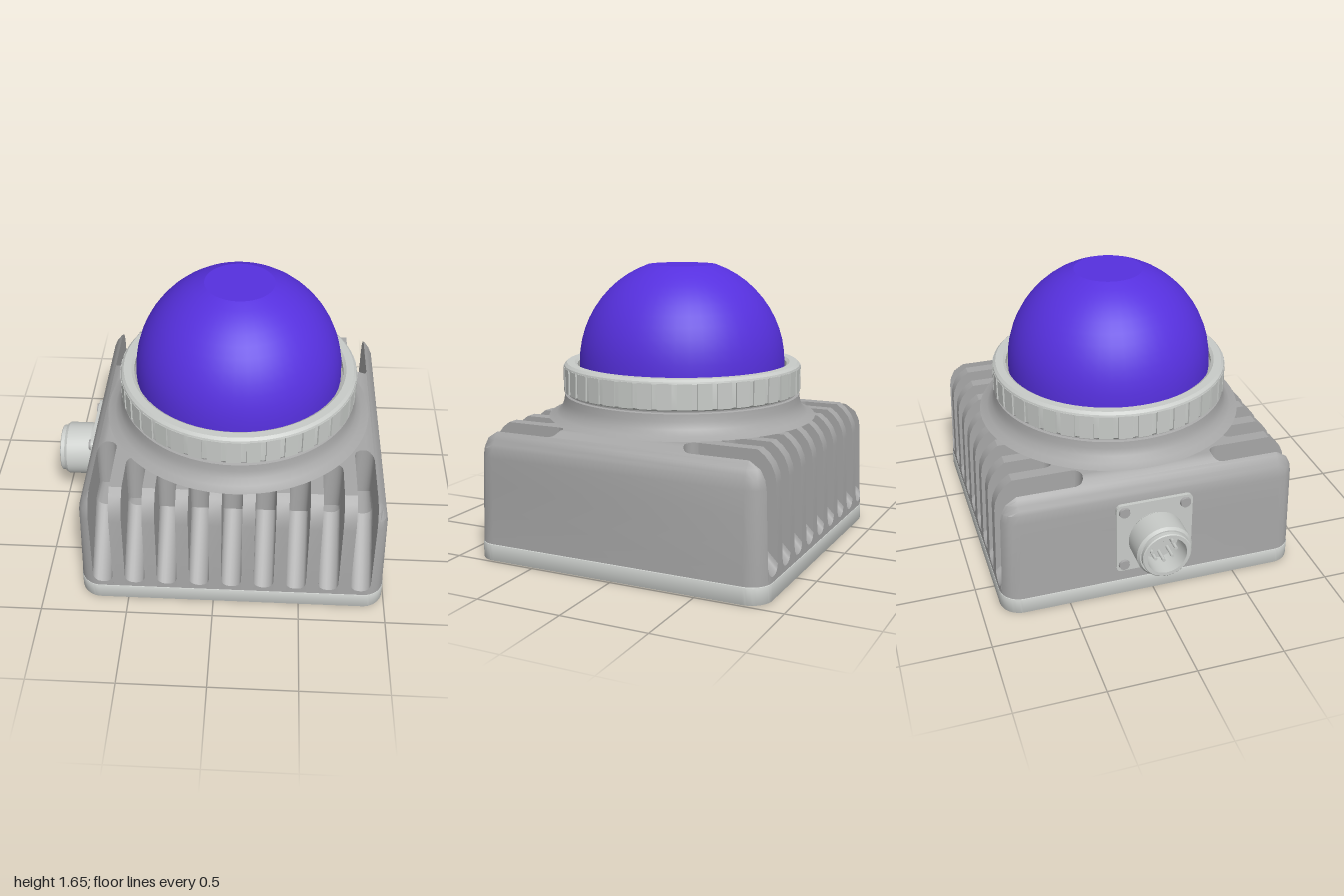
import * as THREE from 'three';
import { toCreasedNormals, mergeGeometries } from 'three/addons/utils/BufferGeometryUtils.js';

const mat = (name, color) => {
  const m = new THREE.MeshStandardMaterial({ color });
  m.name = name;
  return m;
};

const CX = 0.105;        // body centre in x
const P = 0.765;         // half size of the body before its rounded corners
// outer wall from bottom to top: distance from the axis, height
const WALL = [[0.885, 0.1], [0.87, 0.6], [0.862, 0.65], [0.84, 0.7], [0.805, 0.742], [P, 0.772]];

// roof height at a distance u from the centre plane
function roof(u) {
  if (u <= P) return WALL[5][1];
  for (let i = 0; i < 5; i++) {
    const [d0, y0] = WALL[i], [d1, y1] = WALL[i + 1];
    if (u >= d1) return y0 + (y1 - y0) * (d0 - u) / (d0 - d1);
  }
  return 0.1;
}

// z of the wall at level d, with rounded plan corners
const wallZ = (d, u) => P + Math.sqrt(Math.max(0, (d - P) ** 2 - Math.max(0, u - P) ** 2));

// half cross-section of a plain slice
function finSection(x) {
  const u = Math.abs(x), h = roof(u);
  return WALL.map(([d, y]) => (d >= u ? [wallZ(d, u), Math.min(y, h)] : [P, h]));
}

// half cross-section through a cooling slot; f rounds the floor and the end
function slotSection(x, f, end) {
  const u = Math.abs(x), hz = wallZ(0.885, u);
  return [[hz, 0.1], [hz - 0.001, 0.13 + f], [0.57, 0.45 + f], [end + f, 0.45 + f], [end + f, roof(u)]];
}

// closed loft through mirrored sections along x
function loft(xs, half) {
  const rings = xs.map(x => {
    const h = half(x);
    return [...h, ...h.slice().reverse().map(([z, y]) => [-z, y])].map(([z, y]) => [x + CX, y, z]);
  });
  const n = rings[0].length, out = [];
  const quad = (a, b, c, d) => out.push(...a, ...b, ...c, ...a, ...c, ...d);
  for (let i = 0; i < rings.length - 1; i++) {
    for (let j = 0; j < n; j++) {
      const k = (j + 1) % n;
      quad(rings[i][j], rings[i + 1][j], rings[i + 1][k], rings[i][k]);
    }
  }
  const first = rings[0], last = rings[rings.length - 1];
  for (let j = 0; j < n / 2 - 1; j++) {
    quad(last[j], last[n - 1 - j], last[n - 2 - j], last[j + 1]);
    quad(first[j + 1], first[n - 2 - j], first[n - 1 - j], first[j]);
  }
  const g = new THREE.BufferGeometry();
  g.setAttribute('position', new THREE.Float32BufferAttribute(out, 3));
  return toCreasedNormals(g, 0.6);
}

const lathe = (pts, seg = 72, crease = 0.5) =>
  toCreasedNormals(new THREE.LatheGeometry(pts.map(p => new THREE.Vector2(...p)), seg), crease);

function roundedSquare(h, r) {
  const s = new THREE.Shape(), c = h - r;
  s.absarc(c, c, r, 0, Math.PI / 2);
  s.absarc(-c, c, r, Math.PI / 2, Math.PI);
  s.absarc(-c, -c, r, Math.PI, Math.PI * 1.5);
  s.absarc(c, -c, r, Math.PI * 1.5, Math.PI * 2);
  s.closePath();
  return s;
}

export function createModel() {
  const model = new THREE.Group();
  const grey = mat('cast grey', 0xa6a6a6);
  const light = mat('light grey', 0xc8cbc8);
  const violet = mat('violet', 0x5630de);
  const add = (name, geo, material, parent = model) => {
    const m = new THREE.Mesh(geo, material);
    m.name = name;
    parent.add(m);
    return m;
  };

  // finned housing: alternating slots and fins along x
  const housing = new THREE.Group();
  housing.name = 'housing';
  model.add(housing);
  const W = 0.058, PITCH = 0.187, R = 0.05;
  const ends = [0.57, 0.57, 0.57, 0.51, 0.38];
  for (let k = -4; k <= 4; k++) {
    const c = k * PITCH;
    const xs = [-W, -0.053, -0.045, -0.03, -0.01, 0.01, 0.03, 0.045, 0.053, W].map(o => c + o);
    const section = x => {
      const e = Math.max(0, W - Math.abs(x - c));
      const f = e < R ? R - Math.sqrt(Math.max(0, R * R - (R - e) ** 2)) : 0;
      return slotSection(x, f, ends[Math.abs(k)]);
    };
    add('coolingSlot', loft(xs, section), grey, housing);
    if (k < 4) add('fin', loft([c + W, c + PITCH - W], finSection), grey, housing);
  }
  const edge = [4 * PITCH + W, 0.82, 0.84, 0.852, 0.862, 0.87, 0.874, 0.879, 0.883, 0.885];
  add('sideWall', loft(edge, finSection), grey, housing);
  add('sideWall', loft(edge.map(x => -x).reverse(), finSection), grey, housing);

  // flared collar below the ring
  add('collar', lathe([[0, 0.765], [0.735, 0.765], [0.79, 0.772], [0.745, 0.79], [0.715, 0.82],
    [0.7, 0.86], [0.695, 0.9], [0.68, 0.905], [0.68, 0.93]]), grey).position.x = CX;

  // base plate with through holes
  const plate = roundedSquare(0.88, 0.115);
  const hole = (x, z, rx, ry = rx) => {
    const p = new THREE.Path();
    p.absellipse(x, z, rx, ry, 0, Math.PI * 2, true);
    plate.holes.push(p);
  };
  for (const x of [-0.67, 0.67]) for (const z of [-0.53, 0.53]) hole(x, z, 0.028);
  hole(0, -0.46, 0.034);
  hole(0, 0.68, 0.05, 0.03);
  for (const x of [-0.79, 0.79]) for (const z of [-0.79, 0.79]) hole(x, z, 0.055);
  const plateGeo = new THREE.ExtrudeGeometry(plate, {
    depth: 0.082, bevelThickness: 0.008, bevelSize: 0.008, bevelSegments: 2, curveSegments: 10,
  });
  plateGeo.rotateX(-Math.PI / 2).translate(CX, 0.008, 0);
  add('basePlate', toCreasedNormals(plateGeo, 0.6), light);
  add('plateSeam', new THREE.BoxGeometry(1.62, 0.012, 1.62), grey).position.set(CX, 0.1, 0);

  // corner screws under the plate
  for (const x of [-0.79, 0.79]) for (const z of [-0.79, 0.79]) {
    const s = add('baseScrew', lathe([[0, 0.022], [0.018, 0.022], [0.02, 0.008], [0.042, 0.008],
      [0.042, 0.09]], 20), grey);
    s.position.set(x + CX, 0, z);
  }

  // clamping ring with grip pads
  const ring = new THREE.Group();
  ring.name = 'clampRing';
  ring.position.x = CX;
  model.add(ring);
  add('ringBody', lathe([[0.6, 0.912], [0.68, 0.912], [0.692, 0.924], [0.692, 1.06], [0.699, 1.06],
    [0.695, 1.073], [0.68, 1.087], [0.635, 1.087], [0.618, 1.075], [0.618, 1.03]]), light, ring);
  const pads = [];
  for (let i = 0; i < 40; i++) {
    const a = i * Math.PI / 20;
    pads.push(new THREE.BoxGeometry(0.08, 0.142, 0.02).translate(0, 0.993, 0.69).rotateY(a));
  }
  add('gripPads', mergeGeometries(pads), light, ring);
  add('ringFloor', new THREE.CylinderGeometry(0.625, 0.625, 0.02, 48), grey, ring).position.y = 1.03;

  // dome with a flattened top
  const dome = [[0.605, 1.03]];
  const top = Math.acos(0.2 / 0.605);
  for (let i = 0; i <= 11; i++) {
    const a = top * i / 11;
    dome.push([0.605 * Math.cos(a), 1.08 + 0.605 * Math.sin(a)]);
  }
  dome.push([0, 1.651]);
  add('dome', lathe(dome, 48, 0.25), violet).position.x = CX;

  // round connector on the right side, built upright and turned to -x
  const connector = new THREE.Group();
  connector.name = 'connector';
  connector.position.set(-0.76, 0.39, 0);
  connector.rotation.z = Math.PI / 2;
  model.add(connector);
  const flange = new THREE.ExtrudeGeometry(roundedSquare(0.225, 0.03), { depth: 0.04, bevelEnabled: false });
  flange.rotateX(-Math.PI / 2).translate(0, -0.016, 0);
  add('flange', toCreasedNormals(flange, 0.6), light, connector);
  add('socket', lathe([[0.145, 0], [0.145, 0.04], [0.155, 0.04], [0.162, 0.05], [0.162, 0.195],
    [0.15, 0.212], [0.142, 0.212], [0.142, 0.235], [0.136, 0.24], [0.115, 0.24], [0.112, 0.1], [0, 0.1]], 40),
  light, connector);
  for (let i = 0; i < 8; i++) {
    const a = i * Math.PI / 4;
    add('pin', new THREE.CylinderGeometry(0.01, 0.01, 0.1, 10), light, connector)
      .position.set(0.07 * Math.cos(a), 0.14, 0.07 * Math.sin(a));
  }
  for (const x of [-0.18, 0.18]) for (const z of [-0.18, 0.18]) {
    add('flangeScrew', new THREE.CylinderGeometry(0.03, 0.034, 0.02, 16), grey, connector)
      .position.set(x, 0.028, z);
  }
  return model;
}
